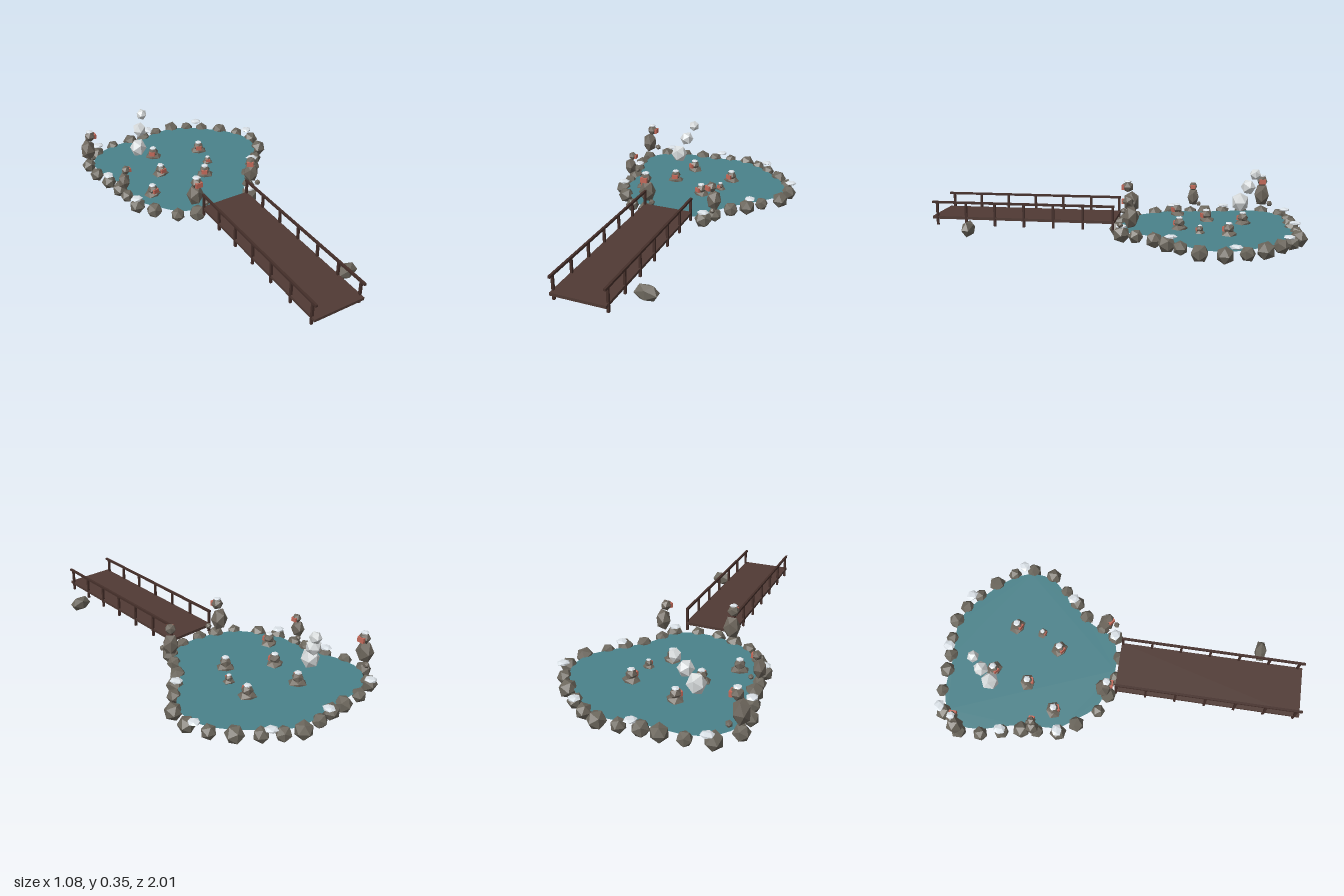
import * as THREE from 'three';

const mat = (name, color, opts = {}) => {
  const m = new THREE.MeshStandardMaterial({ color, flatShading: true, ...opts });
  m.name = name;
  return m;
};

export function createModel() {
  const stone = mat('stone', 0x6b665c);
  const fur = mat('fur', 0x6d665c);
  const skin = mat('redSkin', 0xc46a5a);
  const snow = mat('snow', 0xdfe6ec);
  const steam = mat('steam', 0xd6dadb);
  const water = mat('water', 0x4a828a, { side: THREE.DoubleSide });
  const deckWood = mat('deckWood', 0x503a34);
  const railWood = mat('railWood', 0x452f2a);

  const model = new THREE.Group();
  model.name = 'hotSpring';

  const add = (parent, name, geo, material, x, y, z) => {
    const m = new THREE.Mesh(geo, material);
    m.name = name;
    m.position.set(x, y, z);
    parent.add(m);
    return m;
  };
  // Faceted ellipsoid, the base of every rock, body and cloud
  const blob = (parent, name, material, x, y, z, rx, ry = rx, rz = rx, turn = 0) => {
    const m = add(parent, name, new THREE.IcosahedronGeometry(1, 0), material, x, y, z);
    m.scale.set(rx, ry, rz);
    m.rotation.y = turn;
    return m;
  };
  const box = (parent, name, material, w, h, d, x, y, z) =>
    add(parent, name, new THREE.BoxGeometry(w, h, d), material, x, y, z);

  // Ring of stones around the pool
  const ring = [
    [-0.5, -0.81], [-0.41, -0.91], [-0.29, -0.945], [-0.17, -0.945], [-0.08, -0.945],
    [0.02, -0.96], [0.13, -0.96], [0.22, -0.92], [0.3, -0.86], [0.39, -0.78],
    [0.465, -0.69], [0.505, -0.585], [0.485, -0.465], [0.4, -0.37], [0.335, -0.3],
    [0.26, -0.23], [0.2, -0.13], [0.16, -0.05], [0.04, -0.01], [-0.08, -0.01],
    [-0.18, -0.04], [-0.28, -0.08], [-0.37, -0.185], [-0.43, -0.275], [-0.44, -0.39],
    [-0.445, -0.475], [-0.47, -0.58], [-0.5, -0.69],
  ];
  ring.forEach(([x, z], i) => {
    const r = 0.044 + 0.005 * Math.sin(i * 2.3);
    blob(model, 'rimStone', stone, x, 0.049, z, r, r, r, i * 1.7);
  });

  // Water surface following the ring
  const edge = new THREE.CatmullRomCurve3(
    ring.map(([x, z]) => new THREE.Vector3(x * 0.95, 0, -(z + 0.49) * 0.97 + 0.49)), true);
  const surface = new THREE.Shape(edge.getPoints(90).map((p) => new THREE.Vector2(p.x, p.z)));
  add(model, 'water', new THREE.ShapeGeometry(surface), water, 0, 0.06, 0).rotation.x = -Math.PI / 2;

  // Snow caps on some rim stones
  [[-0.39, -0.935], [-0.04, -0.96], [0.28, -0.9], [0.505, -0.635], [0.345, -0.32],
    [-0.43, -0.28], [-0.47, -0.585], [0.16, -0.05]].forEach(([x, z], i) =>
    blob(model, 'snowCap', snow, x, 0.091, z, 0.035, 0.011, 0.032, i * 1.3));

  // Single flat rock beside the walkway
  blob(model, 'looseRock', stone, 0.195, 0.06, 0.77, 0.067, 0.046, 0.035);

  // Walkway with posts and rails
  const walkway = new THREE.Group();
  walkway.name = 'walkway';
  model.add(walkway);
  box(walkway, 'deck', deckWood, 0.28, 0.015, 1.005, -0.028, 0.098, 0.4975);
  for (const x of [-0.163, 0.108]) {
    box(walkway, 'handrail', railWood, 0.012, 0.012, 1.005, x, 0.183, 0.4975);
    for (let i = 0; i < 7; i++) {
      box(walkway, 'railPost', railWood, 0.012, 0.13, 0.012, x, 0.122, 0.003 + i * 0.1615);
    }
  }

  // Monkey sitting on the rim, facing its local +z
  const sitter = (x, z, turn, size, capped) => {
    const g = new THREE.Group();
    g.name = 'sittingMonkey';
    g.position.set(x, 0.095, z);
    g.rotation.y = turn;
    g.scale.setScalar(size);
    model.add(g);
    blob(g, 'body', fur, 0, 0.06, 0, 0.048, 0.068, 0.046);
    blob(g, 'head', fur, 0, 0.147, 0.02, 0.033);
    box(g, 'face', skin, 0.038, 0.028, 0.016, 0, 0.145, 0.046);
    blob(g, 'paw', fur, 0.044, 0.016, 0.04, 0.018);
    if (capped) blob(g, 'headSnow', snow, 0, 0.178, 0.02, 0.023, 0.008, 0.023);
  };
  sitter(-0.497, -0.81, Math.PI / 2, 1, true);
  sitter(-0.445, -0.405, Math.PI / 2, 0.78, false);
  sitter(-0.178, -0.065, 0, 1, true);
  sitter(0.203, -0.105, -0.65, 0.93, false);

  // Monkey bathing up to its shoulders
  const bather = (x, z, turn, size) => {
    const g = new THREE.Group();
    g.name = 'bathingMonkey';
    g.position.set(x, 0.06, z);
    g.rotation.y = turn;
    g.scale.setScalar(size);
    model.add(g);
    blob(g, 'shoulders', fur, 0, 0, 0, 0.05, 0.025, 0.045);
    blob(g, 'head', fur, 0, 0.032, 0.003, 0.031);
    box(g, 'face', skin, 0.034, 0.024, 0.014, 0, 0.03, 0.027);
    blob(g, 'headSnow', snow, 0, 0.059, 0.003, 0.021, 0.008, 0.021);
  };
  bather(-0.18, -0.49, 0.2, 1);
  bather(-0.13, -0.69, -0.7, 1);
  bather(0.14, -0.61, -0.4, 1);
  bather(0.04, -0.35, -0.6, 1);
  bather(-0.315, -0.32, 0.3, 1);
  bather(0.12, -0.46, -0.3, 0.65);

  // Rising puffs of steam
  blob(model, 'steamPuff', steam, -0.232, 0.16, -0.675, 0.05, 0.058, 0.05);
  blob(model, 'steamPuff', steam, -0.198, 0.253, -0.715, 0.042, 0.044, 0.042, 0.8);
  blob(model, 'steamPuff', steam, -0.163, 0.33, -0.75, 0.033, 0.033, 0.033, 1.6);

  return model;
}
